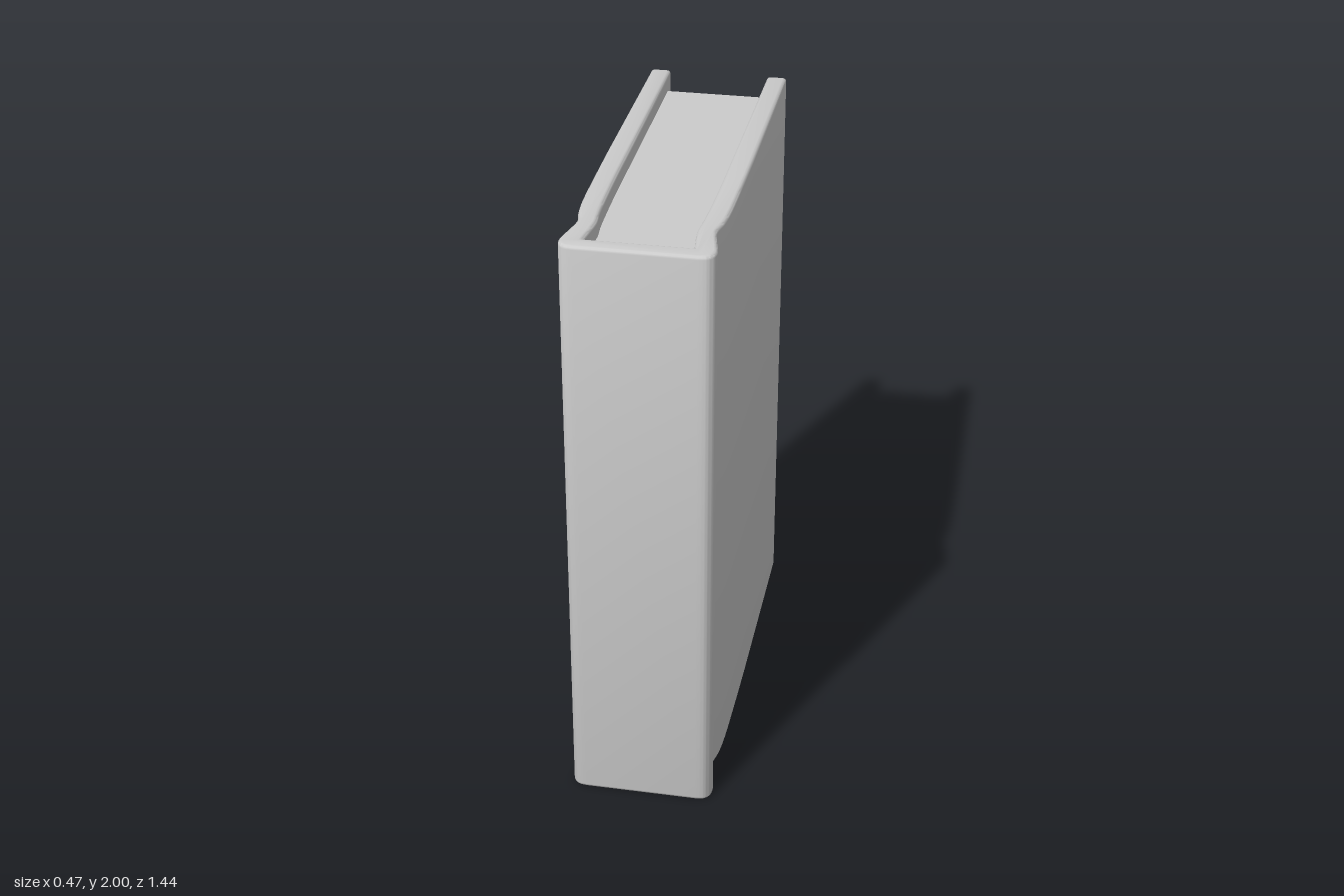
import * as THREE from 'three';
import { toCreasedNormals } from 'three/addons/utils/BufferGeometryUtils.js';

const HEIGHT = 2, BEVEL = 0.012, PAGE_INSET = 0.055;

// Half profiles as [x, z], running from the fore edge towards the spine
const OUTER = [[0.234, 0.0], [0.232, 0.2], [0.228, 0.4], [0.222, 0.47], [0.211, 0.53],
  [0.219, 0.585], [0.231, 0.64], [0.235, 0.675], [0.228, 0.7], [0.212, 0.715], [0.185, 0.72]];
const INNER = [[0.164, 0.0], [0.163, 0.2], [0.159, 0.4], [0.156, 0.47], [0.151, 0.53],
  [0.154, 0.575], [0.16, 0.625], [0.164, 0.66]];

const smooth = (pts, n) =>
  new THREE.CatmullRomCurve3(pts.map(([x, z]) => new THREE.Vector3(x, z, 0)), false, 'centripetal')
    .getPoints(n).map((p) => new THREE.Vector2(p.x, p.y));

// Adds the other half, mirrored in x, to close the outline
const mirrored = (pts) => pts.concat(pts.map((p) => new THREE.Vector2(-p.x, p.y)).reverse());

// Extrudes an x/z outline upwards between two heights
function standing(outline, y0, y1, bevel) {
  const geo = new THREE.ExtrudeGeometry(new THREE.Shape(outline), {
    depth: y1 - y0 - 2 * bevel,
    bevelEnabled: bevel > 0, bevelSize: bevel, bevelThickness: bevel,
    bevelOffset: -bevel, bevelSegments: 3,
  });
  geo.rotateX(Math.PI / 2);
  geo.translate(0, y1 - bevel, 0);
  return toCreasedNormals(geo, 0.6);
}

export function createModel() {
  const group = new THREE.Group();
  group.name = 'book';
  const material = new THREE.MeshStandardMaterial({ color: 0xcccccc });
  const add = (name, geo) => {
    const mesh = new THREE.Mesh(geo, material);
    mesh.name = name;
    group.add(mesh);
  };

  // Cover: two boards joined by the spine, with a hinge groove on each side
  const v = (x, z) => new THREE.Vector2(x, z);
  const half = [
    ...smooth(INNER, 28).reverse(),
    v(0.168, -0.712), v(0.171, -0.719), v(0.178, -0.722),
    v(0.224, -0.722), v(0.232, -0.719), v(0.235, -0.711),
    ...smooth(OUTER, 48),
  ];
  add('cover', standing(mirrored(half), 0, HEIGHT, BEVEL));

  // Page block, filling the space between the boards
  const pages = [v(0.168, -0.66), ...smooth(INNER, 28).map((p) => v(p.x + 0.003, p.y + 0.002))];
  add('pages', standing(mirrored(pages), PAGE_INSET, HEIGHT - PAGE_INSET, 0));

  return group;
}
